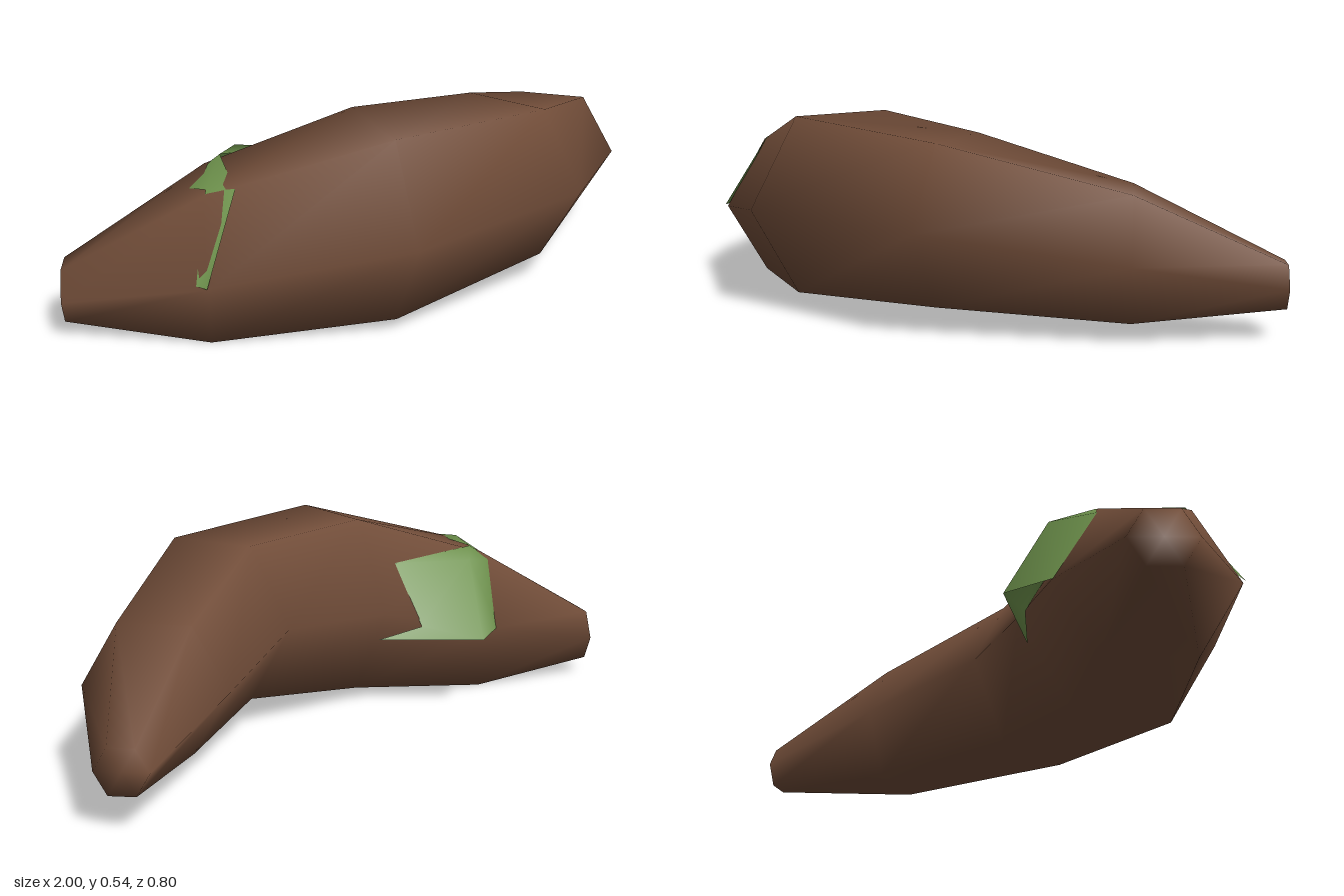
import * as THREE from 'three';

const bark = new THREE.MeshStandardMaterial({ color: 0x704c38 });
bark.name = 'brown skin';
const leafGreen = new THREE.MeshStandardMaterial({ color: 0x6e924c, side: THREE.DoubleSide });
leafGreen.name = 'leaf green';

function meshFrom(name, points, faces, material) {
  const geometry = new THREE.BufferGeometry();
  geometry.setAttribute('position', new THREE.Float32BufferAttribute(points.flat(), 3));
  geometry.setIndex(faces.flat());
  geometry.computeVertexNormals();
  const mesh = new THREE.Mesh(geometry, material);
  mesh.name = name;
  return mesh;
}

// Curved body: hexagonal rings with a point facing front and back
function makeBody() {
  // front point x, z; back point x, z; centre height
  const rings = [
    [-1.0, -0.26, -0.9, -0.4, 0.12],
    [-0.77, 0.09, -0.5, -0.31, 0.21],
    [-0.33, 0.4, -0.16, -0.165, 0.29],
    [0.27, 0.4, 0.165, -0.095, 0.297],
    [0.74, 0.1, 0.53, -0.23, 0.225],
    [1.0, -0.25, 0.92, -0.36, 0.145],
  ];
  const sides = 6;
  const points = [];
  const faces = [];
  for (const [fx, fz, bx, bz, y] of rings) {
    const r = Math.hypot(fx - bx, fz - bz) / 2;
    for (let k = 0; k < sides; k++) {
      const a = (k / sides) * Math.PI * 2;
      const c = Math.cos(a) / 2;
      points.push([(fx + bx) / 2 + (fx - bx) * c, y + r * Math.sin(a), (fz + bz) / 2 + (fz - bz) * c]);
    }
  }
  for (let i = 0; i < rings.length - 1; i++) {
    for (let k = 0; k < sides; k++) {
      const a = i * sides + k;
      const b = i * sides + (k + 1) % sides;
      faces.push([a, a + sides, b + sides], [a, b + sides, b]);
    }
  }
  // End caps, smoothed into the sides
  for (const i of [0, rings.length - 1]) {
    const [fx, fz, bx, bz, y] = rings[i];
    const centre = points.push([(fx + bx) / 2, y, (fz + bz) / 2]) - 1;
    for (let k = 0; k < sides; k++) {
      const a = i * sides + k;
      const b = i * sides + (k + 1) % sides;
      faces.push(i === 0 ? [centre, a, b] : [centre, b, a]);
    }
  }
  return meshFrom('body', points, faces, bark);
}

// Jagged leaf draped over the thick end
function makeLeaf() {
  const points = [
    [-0.37, 0.21, -0.365],   // 0 back hem
    [-0.525, 0.21, -0.305],  // 1 back hem, outer
    [-0.43, 0.425, -0.265],  // 2 back shoulder
    [-0.59, 0.395, -0.22],   // 3 outer notch
    [-0.165, 0.21, -0.14],   // 4 lower tip
    [-0.265, 0.245, -0.22],  // 5 inner notch
    [-0.26, 0.42, -0.12],    // 6 upper tip
    [-0.53, 0.442, -0.19],   // 7 waist
    [-0.655, 0.375, -0.2],   // 8 outer tip
    [-0.69, 0.43, -0.02],    // 9 front shoulder, outer
    [-0.64, 0.435, 0.04],    // 10 front shoulder, inner
    [-0.785, 0.215, 0.06],   // 11 front hem, outer
    [-0.775, 0.215, 0.095],  // 12 front hem, inner
  ];
  const faces = [
    [0, 1, 2], [1, 3, 2], [4, 0, 5], [0, 2, 5], [5, 2, 6],
    [6, 2, 7], [2, 3, 7], [3, 8, 7], [8, 9, 7], [9, 10, 7],
    [9, 11, 10], [11, 12, 10],
  ];
  return meshFrom('leaf', points, faces, leafGreen);
}

export function createModel() {
  const model = new THREE.Group();
  model.name = 'curvedPod';
  model.add(makeBody(), makeLeaf());
  return model;
}
